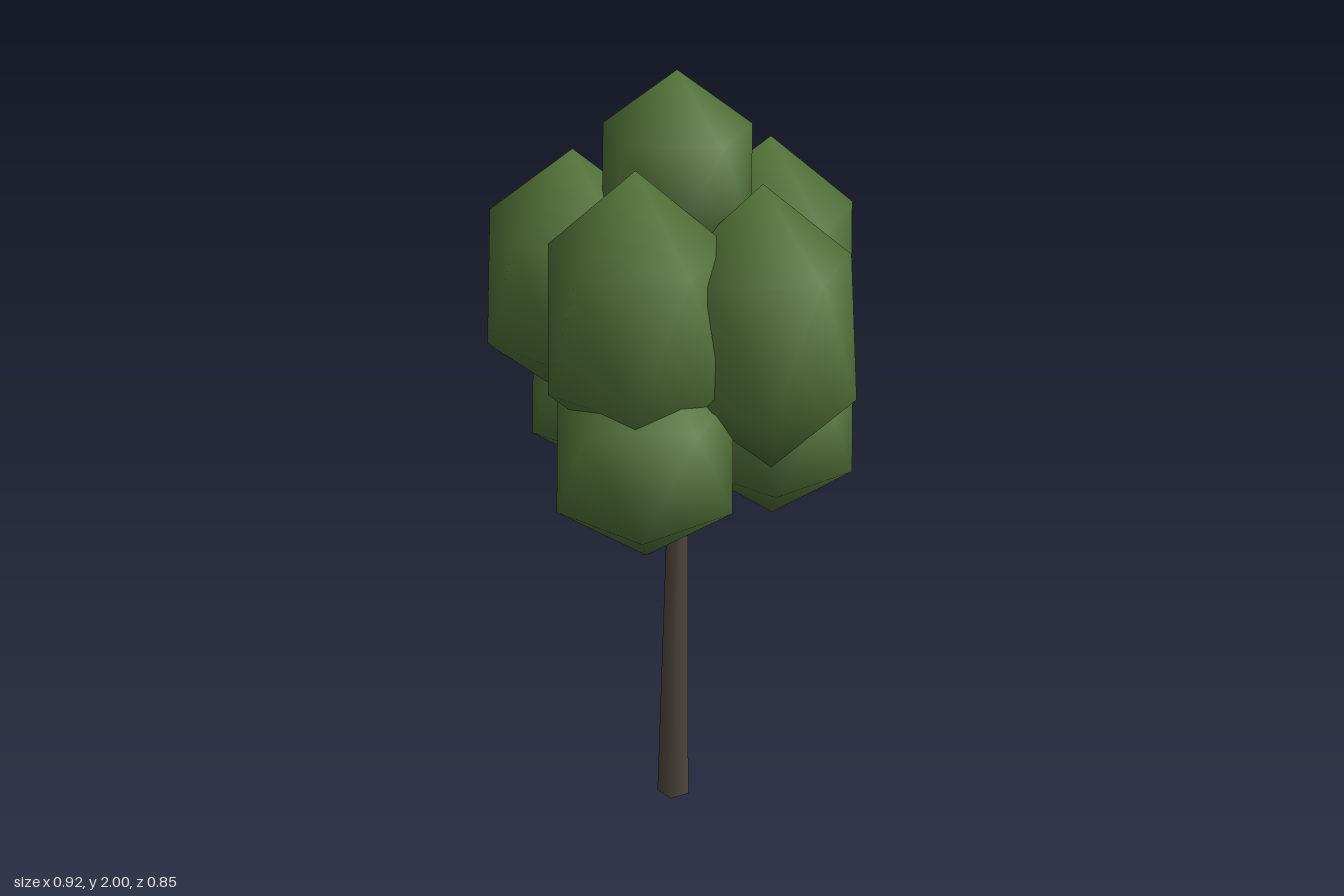
import * as THREE from 'three';
import { mergeVertices } from 'three/addons/utils/BufferGeometryUtils.js';

// Low-poly leaf clump: icosahedron standing on a vertex, smooth normals
function clumpGeometry(ringRadius, halfHeight) {
  let g = new THREE.IcosahedronGeometry(1, 0);
  g.deleteAttribute('normal');
  g.deleteAttribute('uv');
  g = mergeVertices(g, 1e-3);
  g.rotateX(-Math.atan((1 + Math.sqrt(5)) / 2)); // vertex to the pole
  g.rotateY(Math.PI / 2); // upper ring vertex towards +x
  const r = ringRadius / 0.894;
  g.scale(r, halfHeight, r);
  g.computeVertexNormals();
  return g;
}

export function createModel() {
  const tree = new THREE.Group();
  tree.name = 'tree';
  const leafGreen = new THREE.MeshStandardMaterial({ color: 0x55763a });
  leafGreen.name = 'leafGreen';
  const barkBrown = new THREE.MeshStandardMaterial({ color: 0x4e473c });
  barkBrown.name = 'barkBrown';

  // Trunk: tapered five-sided post with a slight lean
  const height = 1.5;
  const trunkGeo = new THREE.CylinderGeometry(0.016, 0.045, height, 5, 1, false, Math.PI / 4);
  trunkGeo.translate(0, height / 2, 0);
  const p = trunkGeo.attributes.position;
  for (let i = 0; i < p.count; i++) {
    const t = p.getY(i) / height;
    p.setX(i, p.getX(i) - 0.019 + 0.025 * t);
    p.setZ(i, p.getZ(i) + 0.019 - 0.01 * t);
  }
  const trunk = new THREE.Mesh(trunkGeo, barkBrown);
  trunk.name = 'trunk';
  tree.add(trunk);

  // Crown: [name, x, y, z, ring radius, half height, tilt about z]
  const clumps = [
    ['topClump', 0.004, 1.75, 0.02, 0.18, 0.25, 0],
    ['middleClumpFrontLeft', 0.125, 1.485, 0.215, 0.212, 0.35, 0],
    ['middleClumpFrontRight', -0.17, 1.487, 0.2, 0.212, 0.323, -0.04],
    ['middleClumpLeft', 0.262, 1.443, -0.05, 0.208, 0.342, 0.08],
    ['middleClumpBack', 0.035, 1.485, -0.225, 0.212, 0.328, 0],
    ['middleClumpRight', -0.23, 1.41, -0.08, 0.21, 0.34, 0],
    ['lowerClumpFrontLeft', 0.15, 1.16, 0.215, 0.215, 0.275, 0],
    ['lowerClumpBack', 0.1, 1.12, -0.205, 0.203, 0.272, 0],
    ['lowerClumpRight', -0.25, 1.16, 0.04, 0.216, 0.283, 0],
  ];
  const crown = new THREE.Group();
  crown.name = 'crown';
  for (const [name, x, y, z, r, h, tilt] of clumps) {
    const clump = new THREE.Mesh(clumpGeometry(r, h), leafGreen);
    clump.name = name;
    clump.position.set(x, y, z);
    clump.rotation.z = tilt;
    crown.add(clump);
  }
  tree.add(crown);
  return tree;
}
